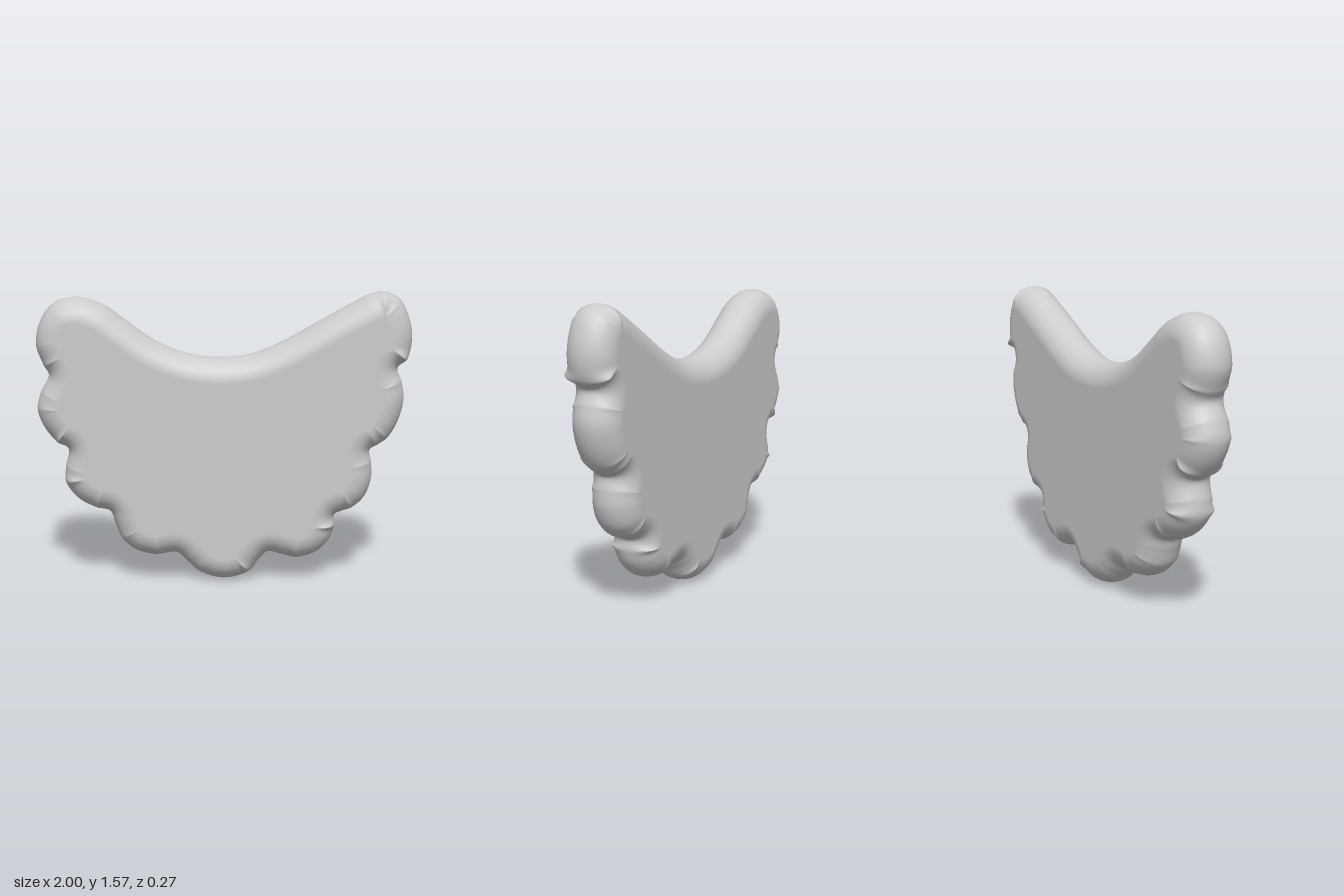
import * as THREE from 'three';

const HALF = 0.133;   // half thickness
const ROUND = 0.13;   // edge rounding
const N = 1200, ROWS = 14;

// Outline, clockwise from the middle of the hollow top edge; one line per lobe
const OUTLINE = [
  [-0.03, 1.22], [0.15, 1.24], [0.32, 1.31], [0.5, 1.41], [0.68, 1.51],
  [0.77, 1.555], [0.85, 1.57], [0.93, 1.53], [0.98, 1.44], [1, 1.32], [0.975, 1.21],
  [0.927, 1.163], [0.95, 1.09], [0.963, 1], [0.935, 0.88], [0.88, 0.785], [0.825, 0.745],
  [0.787, 0.72], [0.797, 0.65], [0.797, 0.56], [0.76, 0.46], [0.695, 0.4], [0.636, 0.378],
  [0.602, 0.36], [0.602, 0.3], [0.572, 0.22], [0.503, 0.152], [0.396, 0.12], [0.316, 0.136],
  [0.24, 0.152], [0.198, 0.115], [0.134, 0.04], [0, 0.003], [-0.134, 0.04], [-0.203, 0.1],
  [-0.257, 0.147], [-0.374, 0.136], [-0.48, 0.163], [-0.556, 0.227], [-0.594, 0.318],
  [-0.62, 0.38], [-0.695, 0.4], [-0.79, 0.452], [-0.856, 0.543], [-0.856, 0.623],
  [-0.84, 0.725], [-0.9, 0.762], [-0.968, 0.848], [-1, 0.944], [-0.979, 1.035],
  [-0.936, 1.126], [-0.963, 1.18], [-1, 1.29], [-0.973, 1.42], [-0.9, 1.51], [-0.78, 1.54],
  [-0.64, 1.5], [-0.524, 1.42], [-0.364, 1.308], [-0.2, 1.243],
];

function createPlate() {
  const curve = new THREE.CatmullRomCurve3(
    OUTLINE.map(([x, y]) => new THREE.Vector3(x, y, 0)).reverse(), true, 'centripetal');
  curve.arcLengthDivisions = 3000;
  const pts = curve.getSpacedPoints(N).slice(0, N);

  // Inward normals of the counter-clockwise outline
  const normals = pts.map((p, i) => {
    const t = pts[(i + 1) % N].clone().sub(pts[(i + N - 1) % N]).normalize();
    return new THREE.Vector3(-t.y, t.x, 0);
  });

  // Inset at each point, limited by the largest circle that fits inside there
  let inset = pts.map((p, i) => {
    let m = ROUND;
    for (const q of pts) {
      const dx = q.x - p.x, dy = q.y - p.y;
      const along = dx * normals[i].x + dy * normals[i].y;
      if (along > 1e-6) m = Math.min(m, (dx * dx + dy * dy) / (2 * along));
    }
    return Math.max(m, 0.03);
  });
  for (let k = 0; k < 12; k++) {
    inset = inset.map((m, i) => (inset[(i + N - 1) % N] + 2 * m + inset[(i + 1) % N]) / 4);
  }

  // Rounded rim: rings from the back face to the front face
  const pos = [], index = [];
  for (let j = 0; j <= ROWS; j++) {
    const a = Math.PI * (j / ROWS - 0.5);
    pts.forEach((p, i) => {
      const d = inset[i] * (1 - Math.cos(a));
      pos.push(p.x + normals[i].x * d, p.y + normals[i].y * d, HALF * Math.sin(a));
    });
  }
  for (let j = 0; j < ROWS; j++) {
    for (let i = 0; i < N; i++) {
      const a = j * N + i, b = j * N + (i + 1) % N;
      index.push(a, b, a + N, b, b + N, a + N);
    }
  }

  // Flat faces, sharing the innermost rings
  const rim = pts.map((p, i) => new THREE.Vector2(
    p.x + normals[i].x * inset[i], p.y + normals[i].y * inset[i]));
  for (const [a, b, c] of THREE.ShapeUtils.triangulateShape(rim, [])) {
    const o = ROWS * N;
    index.push(o + a, o + b, o + c, c, b, a);
  }

  const geo = new THREE.BufferGeometry();
  geo.setAttribute('position', new THREE.Float32BufferAttribute(pos, 3));
  geo.setIndex(index);
  geo.computeVertexNormals();
  // Rim rings lie level with the flat faces
  const n = geo.attributes.normal;
  for (let i = 0; i < N; i++) {
    n.setXYZ(i, 0, 0, -1);
    n.setXYZ(ROWS * N + i, 0, 0, 1);
  }
  return geo;
}

export function createModel() {
  const group = new THREE.Group();
  group.name = 'scallopedPlate';
  const plate = new THREE.Mesh(createPlate(), new THREE.MeshStandardMaterial({ color: 0xcccccc }));
  plate.name = 'scallopedBody';
  group.add(plate);
  return group;
}
